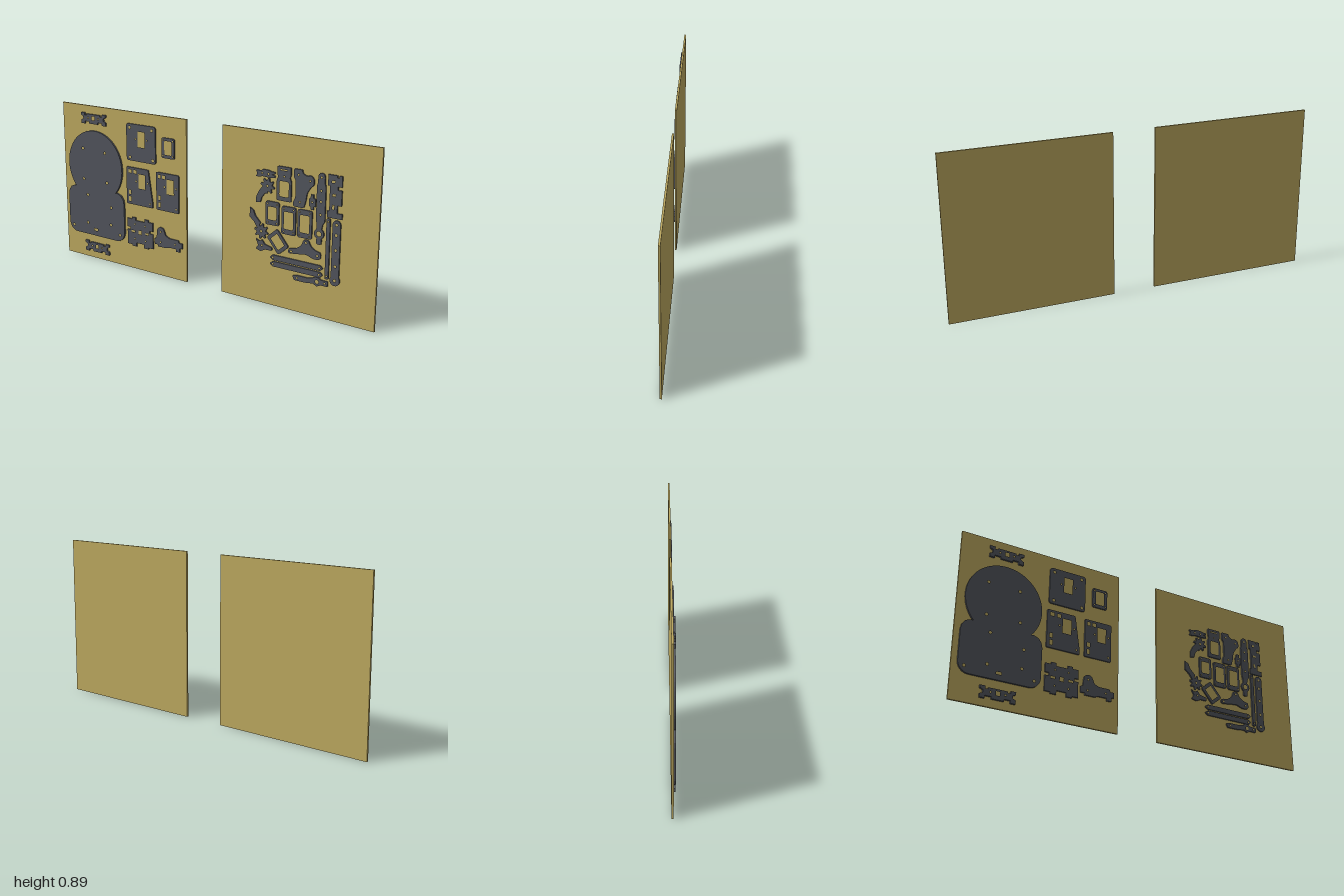
import * as THREE from 'three';

const DPU = 187; // drawing units per model unit; drawing y runs downwards
const THICK = 0.01, THIN = 0.0075;
const toModel = ([x, y]) => new THREE.Vector2((x - 238.5) / DPU, (307 - y) / DPU);

// Outline helpers, all returning point lists in drawing units
const rect = (x0, y0, x1, y1) => [[x0, y0], [x1, y0], [x1, y1], [x0, y1]];
const arc = (cx, cy, r, a0, a1, n) => Array.from({ length: n + 1 }, (_, i) => {
  const a = THREE.MathUtils.degToRad(a0 + (a1 - a0) * i / n);
  return [cx + r * Math.cos(a), cy + r * Math.sin(a)];
});
const circle = (cx, cy, r, n = 16) => arc(cx, cy, r, 0, 360, n).slice(0, n);
const dots = (r, ...centres) => centres.map(([x, y]) => circle(x, y, r, 10));
const turn = (pts, cx, cy, deg) => pts.map(([x, y]) => {
  const a = THREE.MathUtils.degToRad(deg), c = Math.cos(a), s = Math.sin(a);
  return [cx + (x - cx) * c - (y - cy) * s, cy + (x - cx) * s + (y - cy) * c];
});
// Softens every corner of a polygon
function soft(pts, r) {
  const out = [], n = pts.length;
  pts.forEach((p, i) => {
    const v = new THREE.Vector2(...p);
    const end = q => {
      const d = new THREE.Vector2(...q).sub(v), l = d.length();
      return d.multiplyScalar(Math.min(r, l * 0.48) / l).add(v);
    };
    const curve = new THREE.QuadraticBezierCurve(end(pts[(i + n - 1) % n]), v, end(pts[(i + 1) % n]));
    curve.getPoints(4).forEach(q => out.push([q.x, q.y]));
  });
  return out;
}
// Mirrors the right half of an outline (top to bottom) about x = cx
const mirrorX = (half, cx) => [...half, ...half.map(([x, y]) => [2 * cx - x, y]).reverse()];

export function createModel() {
  const group = new THREE.Group();
  const wood = new THREE.MeshStandardMaterial({ color: 0xbaa65e });
  wood.name = 'sheet tan';
  const grey = new THREE.MeshStandardMaterial({ color: 0x50535b });
  grey.name = 'part grey';

  function plate(name, outline, holes = [], depth = THIN) {
    const shape = new THREE.Shape(outline.map(toModel));
    shape.holes = holes.map(h => new THREE.Path(h.map(toModel)));
    const mesh = new THREE.Mesh(new THREE.ExtrudeGeometry(shape, { depth, bevelEnabled: false }), grey);
    mesh.name = name;
    group.add(mesh);
  }

  // Backing sheets
  [['leftSheet', 0.5575], ['rightSheet', -0.5575]].forEach(([name, x]) => {
    const mesh = new THREE.Mesh(new THREE.BoxGeometry(0.885, 0.888, 0.01), wood);
    mesh.name = name;
    mesh.position.set(x, 0.444, -0.005);
    group.add(mesh);
  });

  // Base plate: round top on a rounded square
  plate('basePlate', [
    ...arc(96.5, 204.3, 37.6, 138, 402, 48),
    [127, 229], [132, 231], [135, 235], [136, 240],
    ...arc(125, 270, 11, 0, 90, 8), ...arc(68, 270, 11, 90, 180, 8),
    [57, 240], [58, 235], [61, 231], [66, 229],
  ], [
    ...dots(1.4, [80, 187], [111, 188.5], [80, 220], [113, 220], [85, 237], [118, 246],
      [84, 268], [117, 265], [63, 274], [129.5, 274]),
    rect(93, 273, 98, 275.5),
  ], THICK);

  // Pair of notched spacers above and below the base plate
  [148, 288].forEach((y, i) => plate(i ? 'lowerSpacer' : 'upperSpacer', mirrorX([
    [99, y + 1.5], [105, y + 1.5], [105, y + 3], [108, y + 3], [108, y + 0.5], [113, y + 0.5],
    [113, y + 3], [110, y + 4.5], [110, y + 7], [113, y + 8.5], [113, y + 12],
    [108, y + 12], [108, y + 9.5], [102, y + 9.5], [102, y + 11.5],
  ], 96), [rect(94, y + 3.5, 98, y + 7.5), ...dots(0.9, [89, y + 5.5], [103, y + 5.5])], THICK));

  // Square servo plate and small frame
  plate('servoPlate', soft(rect(141, 153, 179, 191), 3), [
    rect(156, 160, 165, 176),
    ...dots(1.5, [145.5, 157], [174.5, 157], [145.5, 187.5], [175.5, 187.5]),
    ...dots(0.8, [153, 168], [168, 168]),
  ]);
  plate('smallFrame', soft(rect(187, 162, 203, 182.5), 2), [
    soft(rect(190.5, 165, 199.5, 179), 1.5),
    ...dots(0.7, [189, 164.5], [201, 164.5], [189, 180], [201, 180]),
  ]);

  // Side plates with windows and slots
  plate('slantedSidePlate', soft([[140, 198], [169, 198], [174.5, 233], [174.5, 237], [140, 237]], 1.2), [
    rect(156, 204, 165, 219), rect(143, 200.5, 147, 204), rect(150, 200.5, 154, 204),
    rect(143, 222, 146, 226.5), rect(143, 229, 146, 234),
    ...dots(0.9, [153, 212], [168, 212], [171, 233]),
  ]);
  plate('sidePlate', soft(rect(179.5, 198, 208, 237), 1.2), [
    rect(193, 204, 202, 219), rect(182, 200.5, 185, 204), rect(187.5, 200.5, 191, 204),
    rect(182, 222, 185, 226.5), rect(182, 229, 185, 234),
    ...dots(0.9, [190, 212], [205, 212], [205, 233]),
  ]);

  // Slotted bridge plate
  plate('bridgePlate', mirrorX([
    [159, 254], [163, 254], [163, 251], [168, 251], [168, 253], [174, 253], [174, 262], [170, 262],
    [170, 265], [174, 265], [174, 280.5], [168, 280.5], [168, 282], [162, 282], [162, 278], [159, 278],
  ], 157), [
    rect(155, 264, 159, 268), rect(145.5, 265, 150, 267), rect(164, 265, 168.5, 267),
    ...dots(0.8, [150, 258], [164, 258], [150, 274], [164, 274]),
  ]);

  // Curved support bracket
  plate('supportBracket', [
    ...arc(184.5, 260, 4.8, 180, 340, 10), [191, 263], [196, 265], [207, 265], [208, 267.5],
    [212, 267.5], [212, 273], [209, 273], [209, 277], [204, 277], [204, 274.5], [196, 274.5],
    [191, 276], [181, 276], [181, 274], [176.5, 274], [176.5, 268], [179, 267],
  ], dots(0.9, [184.5, 260], [184, 271], [203, 270]));

  // Small links along the left of the second sheet
  plate('smallLink', soft([[299, 178], [304, 178], [307, 176.5], [313, 176.5], [316, 177.5], [320, 177.5],
    [320, 179.5], [316, 180], [320, 181], [320, 183], [313, 183.5], [306, 183], [304, 184], [299, 184],
    [301, 181]], 1), dots(0.9, [306, 180], [313, 180]));

  // Gripper fingers: toothed wheel with a bent arm
  const gear = (cx, cy, r) => Array.from({ length: 32 }, (_, i) => {
    const a = (i + 0.5) * Math.PI / 16;
    const d = i % 4 < 2 ? r : r * 0.68;
    return [cx + d * Math.cos(a), cy + d * Math.sin(a)];
  });
  plate('upperGripperGear', gear(312, 191.5, 7.5), dots(1.1, [312, 191.5]));
  plate('upperGripperArm', [[307, 192], [311, 197], [306, 203], [304.5, 208], [300, 209], [300, 203], [303, 197]]);
  plate('lowerGripperGear', gear(306, 236, 7.5), dots(1.1, [306, 236]));
  plate('lowerGripperArm', [[293, 215], [297, 217], [299, 222], [305, 228], [302, 234], [298, 228], [293, 224]]);
  plate('gripperTip', soft([[300, 244], [304, 246], [307, 244], [310, 248], [318, 250], [318, 253],
    [311, 253], [306, 255.5], [300, 254], [303, 250]], 1), dots(0.9, [307, 249.5]));

  // Servo frames
  const corners = (x0, y0, x1, y1, d) => dots(0.6, [x0 + d, y0 + d], [x1 - d, y0 + d], [x0 + d, y1 - d], [x1 - d, y1 - d]);
  plate('tallFrame', soft([[322.5, 171], [337, 171], [337, 178], [336, 181], [337.5, 184], [337.5, 203],
    [322, 203], [322, 184], [323.5, 181], [322.5, 178]], 1.2),
  [soft(rect(325, 184.5, 335, 199), 2), rect(326, 173.5, 333, 174.5), ...dots(0.8, [330, 180])]);
  [['leftFrame', 310.5, 205.5, 325, 228], ['middleFrame', 328, 207.5, 343, 234],
    ['rightFrame', 345, 207.5, 360, 234]].forEach(([name, x0, y0, x1, y1]) =>
    plate(name, soft(rect(x0, y0, x1, y1), 2),
      [soft(rect(x0 + 2.6, y0 + 5, x1 - 2.6, y1 - 5), 1.5), ...corners(x0, y0, x1, y1, 2.3)]));
  plate('turnedFrame', turn(soft(rect(317, 233, 331.5, 253), 2), 324.2, 243, -40),
    [turn(soft(rect(319.8, 236.5, 328.7, 249.5), 1), 324.2, 243, -40)]);

  // Elbow and triangular brackets
  plate('elbowBracket', soft([[340, 171], [349, 171], [349, 174], [353, 176], [358, 175], [361, 178], [361, 183],
    [357, 187], [354, 192], [353, 199], [351, 206], [340, 206], [340, 201], [342, 198], [342, 181], [340, 179]], 1.5),
  dots(0.9, [345, 176], [357, 180], [347, 201]));
  plate('triangleBracket', soft([[336, 246.5], [344, 245.5], [350, 241], [352, 235], [357, 235], [359, 240],
    [364, 243.5], [370, 244.5], [370, 251], [363, 252], [355, 249], [345, 250.5], [336, 251.5]], 2.5),
  dots(1, [339, 249], [354.5, 238], [366.5, 248]));
  plate('smallSpacer', [[358, 192], [361, 192], [361, 195], [363, 196], [363, 203], [361, 203], [361, 206],
    [358, 206], [358, 203], [356.5, 203], [356.5, 196], [358, 195]], dots(0.8, [359.7, 199]));

  // Long arms and bars
  plate('holedArm', [
    ...arc(368.5, 174.5, 3.5, 180, 360, 8), [372, 180], [373, 183], [373, 215], [371, 218], [370, 222.5],
    ...arc(367.5, 227, 5, -50, 230, 16), [365, 222], [365, 218], [364, 215], [364, 183], [365, 180],
  ], [circle(367.5, 227, 2.4), ...dots(1, [368.5, 175], [368.5, 187], [368.5, 197], [368.5, 209])]);
  plate('armEnd', soft(rect(365, 231, 370, 237), 1.5));
  plate('combPlate', [[375, 171], [384, 171], [384, 173], [386, 173], [386, 171], [389, 171], [389, 181],
    [385, 181], [385, 184], [389, 184], [389, 198], [385, 198], [385, 205], [390, 205], [390, 210],
    [375, 210], [375, 204], [377, 204], [377, 181], [375, 181]],
  [rect(379, 176, 382, 178), rect(380, 188, 383, 190), rect(380, 198, 382, 202)]);
  plate('narrowBar', soft(rect(374.8, 211, 378.5, 268), 1.2), dots(0.7, [376.6, 214], [376.6, 265]));
  plate('longLink', [...arc(385, 215.5, 4, 180, 360, 10), [389, 262], ...arc(385, 267.5, 5, -40, 220, 14), [381, 262]],
    dots(1.3, [385, 215.5], [385, 225], [385, 239], [385, 254], [385, 267.5]));
  [256.5, 262.8].forEach((y, i) => plate(i ? 'lowerBar' : 'upperBar',
    soft([[316, y + 2.5], [319, y], [370, y], [372.5, y + 2.5], [370, y + 5], [319, y + 5]], 1),
    dots(0.9, [319.5, y + 2.5], [369, y + 2.5])));
  plate('shortLink', soft([[341, 272], [345, 271], [356, 271], [362, 270], [365, 268], [369, 268.5], [371, 270],
    [378, 270], [378, 275], [371, 275], [367, 277], [363, 275], [355, 276], [343, 276]], 1),
  [circle(367, 272.5, 1.8), ...dots(0.9, [346, 273.5], [375, 272.5])]);

  // The sheets are listed left-first from the model's own side
  return group;
}
